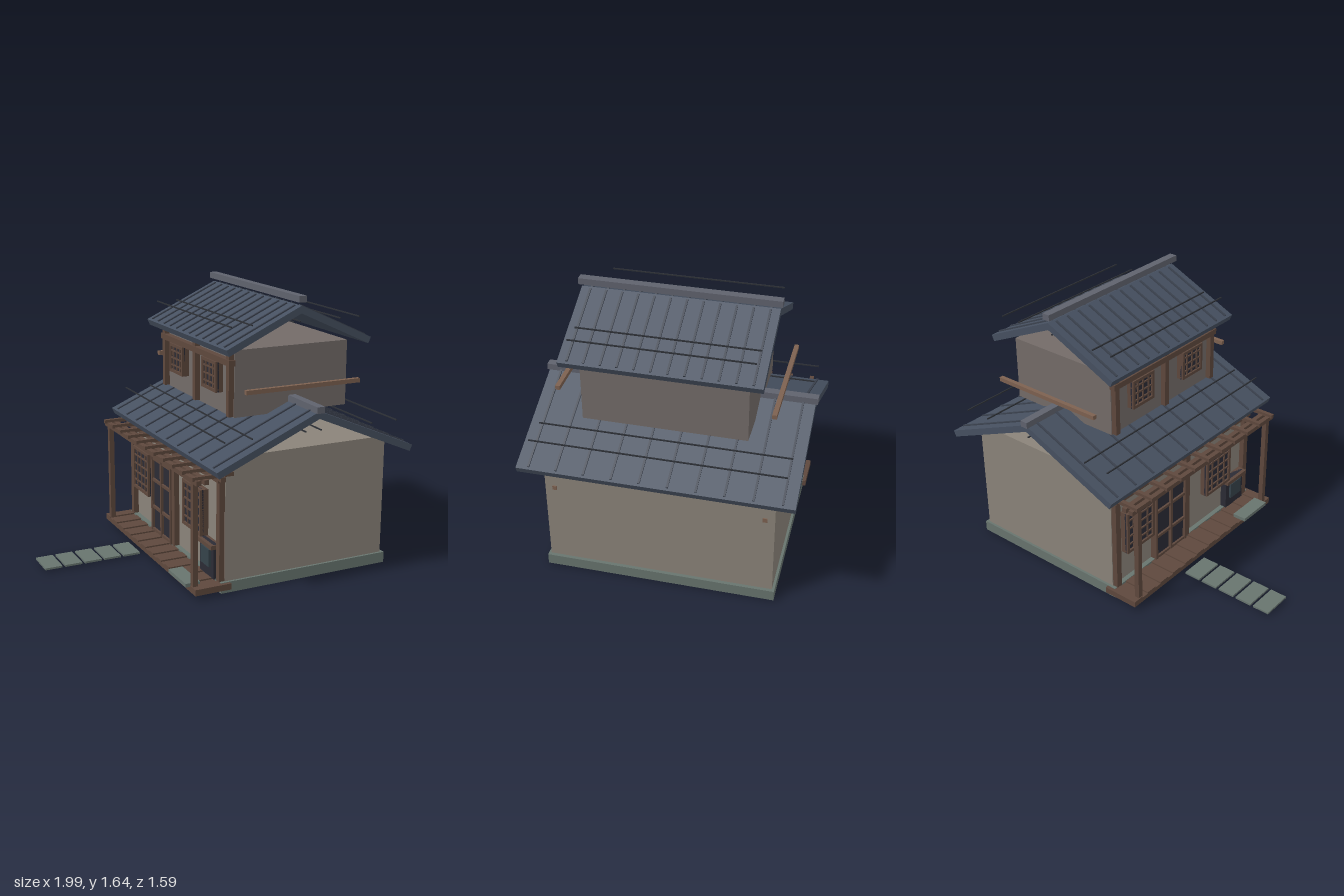
import * as THREE from 'three';

const mat = (color) => new THREE.MeshStandardMaterial({ color });
const M = {
  plaster: mat(0x8a8379), upperPlaster: mat(0x736b68), stone: mat(0x67746e),
  roof: mat(0x465060), rib: mat(0x3c4350), ridge: mat(0x5f626d), wire: mat(0x2d3036),
  wood: mat(0x5e483d), rail: mat(0x7d6150), glass: mat(0x2b2b35), panel: mat(0x35424a),
};

// Box given by its limits along each axis
function box(parent, name, m, [x0, x1], [y0, y1], [z0, z1]) {
  const mesh = new THREE.Mesh(new THREE.BoxGeometry(x1 - x0, y1 - y0, z1 - z0), m);
  mesh.position.set((x0 + x1) / 2, (y0 + y1) / 2, (z0 + z1) / 2);
  mesh.name = name;
  parent.add(mesh);
  return mesh;
}

function group(parent, name) {
  const g = new THREE.Group();
  g.name = name;
  parent.add(g);
  return g;
}

const around = (c, size) => [c - size / 2, c + size / 2];

// Gable roof: chevron slab, ribs down the slopes, ridge cap and thin lines along the length
function roof(parent, name, o) {
  const g = group(parent, name);
  g.position.set(0.355, o.y, 0);
  const a = Math.atan2(o.drop, o.half), t = 0.04;
  const ex = o.half - t * Math.sin(a), ey = -o.drop - t * Math.cos(a);
  const shape = new THREE.Shape([
    [0, 0], [-o.half, -o.drop], [-ex, ey], [0, -t / Math.cos(a)], [ex, ey], [o.half, -o.drop],
  ].map(([x, y]) => new THREE.Vector2(x, y)));
  const slab = new THREE.Mesh(new THREE.ExtrudeGeometry(shape, { depth: 2 * o.z, bevelEnabled: false }), M.roof);
  slab.position.z = -o.z;
  slab.name = 'roofSlab';
  g.add(slab);

  const L = Math.hypot(o.half, o.drop);
  for (const s of [-1, 1]) {
    const slope = group(g, s < 0 ? 'rightSlopeRibs' : 'leftSlopeRibs');
    slope.rotation.z = -s * a;
    for (let i = 0; i < o.ribs; i++) {
      const z = o.ribZ * (2 * i / (o.ribs - 1) - 1);
      box(slope, 'roofRib', M.rib, around(s * L / 2, L - 0.03), [-0.004, 0.008], around(z, 0.012));
    }
    for (let i = 0; i < 4; i++) {
      box(g, 'roofLine', M.wire, around(s * (o.lineX + i * o.lineStep), 0.007),
        around(o.lineY - o.y, 0.007), [-o.lineZ, o.lineZ]);
    }
  }
  box(g, 'ridgeCap', M.ridge, [-0.024, 0.024], o.cap.map((y) => y - o.y), [-o.capZ, o.capZ]);
}

// Lattice window on a wall facing -x; x is the wall side of the frame
function lattice(parent, x, [y0, y1], [z0, z1], cols, rows) {
  const g = group(parent, 'latticeWindow');
  const f = 0.018, b = 0.009;
  box(g, 'windowPane', M.glass, [x - 0.01, x], [y0, y1], [z0, z1]);
  for (const y of [y0, y1 - f]) box(g, 'windowFrame', M.wood, [x - 0.022, x], [y, y + f], [z0, z1]);
  for (const z of [z0, z1 - f]) box(g, 'windowFrame', M.wood, [x - 0.022, x], [y0, y1], [z, z + f]);
  for (let i = 1; i < cols; i++)
    box(g, 'windowBar', M.wood, [x - 0.018, x], [y0, y1], around(z0 + (z1 - z0) * i / cols, b));
  for (let i = 1; i < rows; i++)
    box(g, 'windowBar', M.wood, [x - 0.018, x], around(y0 + (y1 - y0) * i / rows, b), [z0, z1]);
}

export function createModel() {
  const model = new THREE.Group();
  model.name = 'house';

  // Main volumes
  box(model, 'foundation', M.stone, [-0.2, 0.9], [0, 0.065], [-0.675, 0.675]);
  box(model, 'lowerWalls', M.plaster, [-0.17, 0.88], [0.065, 0.795], [-0.66, 0.66]);
  box(model, 'upperWalls', M.upperPlaster, [-0.02, 0.72], [0.96, 1.35], [-0.468, 0.468]);

  // Roofs
  roof(model, 'lowerRoof', {
    y: 1.03, half: 0.637, drop: 0.272, z: 0.78, ribs: 10, ribZ: 0.71,
    cap: [1.02, 1.058], capZ: 0.793, lineX: 0.05, lineStep: 0.17, lineY: 0.902, lineZ: 0.72,
  });
  roof(model, 'upperRoof', {
    y: 1.588, half: 0.47, drop: 0.215, z: 0.557, ribs: 12, ribZ: 0.504,
    cap: [1.608, 1.645], capZ: 0.57, lineX: 0.022, lineStep: 0.132, lineY: 1.49, lineZ: 0.51,
  });

  // Rails and tie beams beside both gable ends
  for (const s of [-1, 1]) {
    box(model, 'gableRail', M.rail, [-0.02, 0.72], [1.125, 1.15], around(s * 0.604, 0.026));
    box(model, 'tieBeam', M.rail, [-0.175, 0.886], [0.552, 0.578], around(s * 0.604, 0.026));
  }

  // Upper facade
  const upper = group(model, 'upperFacade');
  for (const z of [-0.445, 0, 0.445])
    box(upper, 'upperColumn', M.wood, [-0.052, -0.018], [0.965, 1.345], around(z, 0.035));
  box(upper, 'upperBeam', M.wood, [-0.058, -0.018], [1.26, 1.295], [-0.475, 0.475]);
  for (const z of [-0.23, 0.23]) lattice(upper, -0.045, [1.08, 1.26], around(z, 0.19), 4, 4);
  for (const z of [-0.23, 0.23]) box(upper, 'windowBacking', M.wood, [-0.046, -0.019], [1.08, 1.26], around(z, 0.19));

  // Lower facade columns, head beam and windows
  const lower = group(model, 'lowerFacade');
  for (const z of [-0.635, 0.02, 0.635])
    box(lower, 'lowerColumn', M.wood, [-0.203, -0.168], [0.06, 0.755], around(z, 0.04));
  box(lower, 'headBeam', M.wood, [-0.215, -0.168], [0.655, 0.69], [-0.66, 0.66]);
  for (const z of [-0.45, 0.32]) {
    box(lower, 'windowBacking', M.wood, [-0.2, -0.169], [0.27, 0.55], around(z, 0.25));
    lattice(lower, -0.2, [0.27, 0.55], around(z, 0.25), 4, 5);
  }

  // Sliding door with two leaves
  const door = group(lower, 'slidingDoor');
  box(door, 'doorGlass', M.glass, [-0.195, -0.169], [0.06, 0.55], [-0.3, 0]);
  for (const z of [-0.292, -0.15, -0.008])
    box(door, 'doorStile', M.wood, [-0.212, -0.169], [0.06, 0.55], around(z, 0.018));
  for (const y of [0.068, 0.22, 0.4, 0.54])
    box(door, 'doorRail', M.wood, [-0.208, -0.169], around(y, 0.018), [-0.3, 0]);

  // Low crawl-in entrance
  const hatch = group(lower, 'lowEntrance');
  box(hatch, 'hatchFrame', M.glass, [-0.212, -0.169], [0.06, 0.27], [0.42, 0.6]);
  box(hatch, 'hatchPanel', M.panel, [-0.226, -0.2], [0.125, 0.23], [0.455, 0.565]);
  box(hatch, 'hatchLintel', M.wood, [-0.234, -0.169], [0.245, 0.27], [0.41, 0.61]);

  // Veranda deck and pergola
  const veranda = group(model, 'veranda');
  box(veranda, 'deck', M.wood, [-0.37, -0.145], [0.025, 0.053], [-0.695, 0.695]);
  for (let i = 0; i < 12; i++)
    box(veranda, 'deckBoard', M.wood, [-0.37, -0.145], [0.053, 0.062], around(-0.66 + i * 0.12, 0.07));
  for (const z of [-0.635, 0.635])
    box(veranda, 'verandaPost', M.wood, [-0.364, -0.333], [0.055, 0.69], around(z, 0.032));
  for (const x of [-0.35, -0.302, -0.2])
    box(veranda, 'pergolaBeam', M.wood, around(x, 0.03), [0.67, 0.698], [-0.697, 0.697]);
  for (let i = 0; i < 11; i++)
    box(veranda, 'pergolaSlat', M.wood, [-0.38, -0.125], [0.693, 0.715], around(-0.665 + i * 0.133, 0.025));

  // Stones: path, step on the deck edge, flat stones under the deck
  for (let i = 0; i < 5; i++) {
    const x = -1 + i * 0.125;
    box(model, 'pathStone', M.stone, [x, x + 0.106], [0.01, 0.022], [-0.245, -0.055]);
  }
  box(model, 'stepStone', M.stone, [-0.395, -0.305], [0.053, 0.075], [0.38, 0.62]);
  for (const z of [-0.15, 0.5])
    box(model, 'groundStone', M.stone, [-0.3, -0.19], [0.014, 0.026], around(z, 0.2));

  return model;
}
